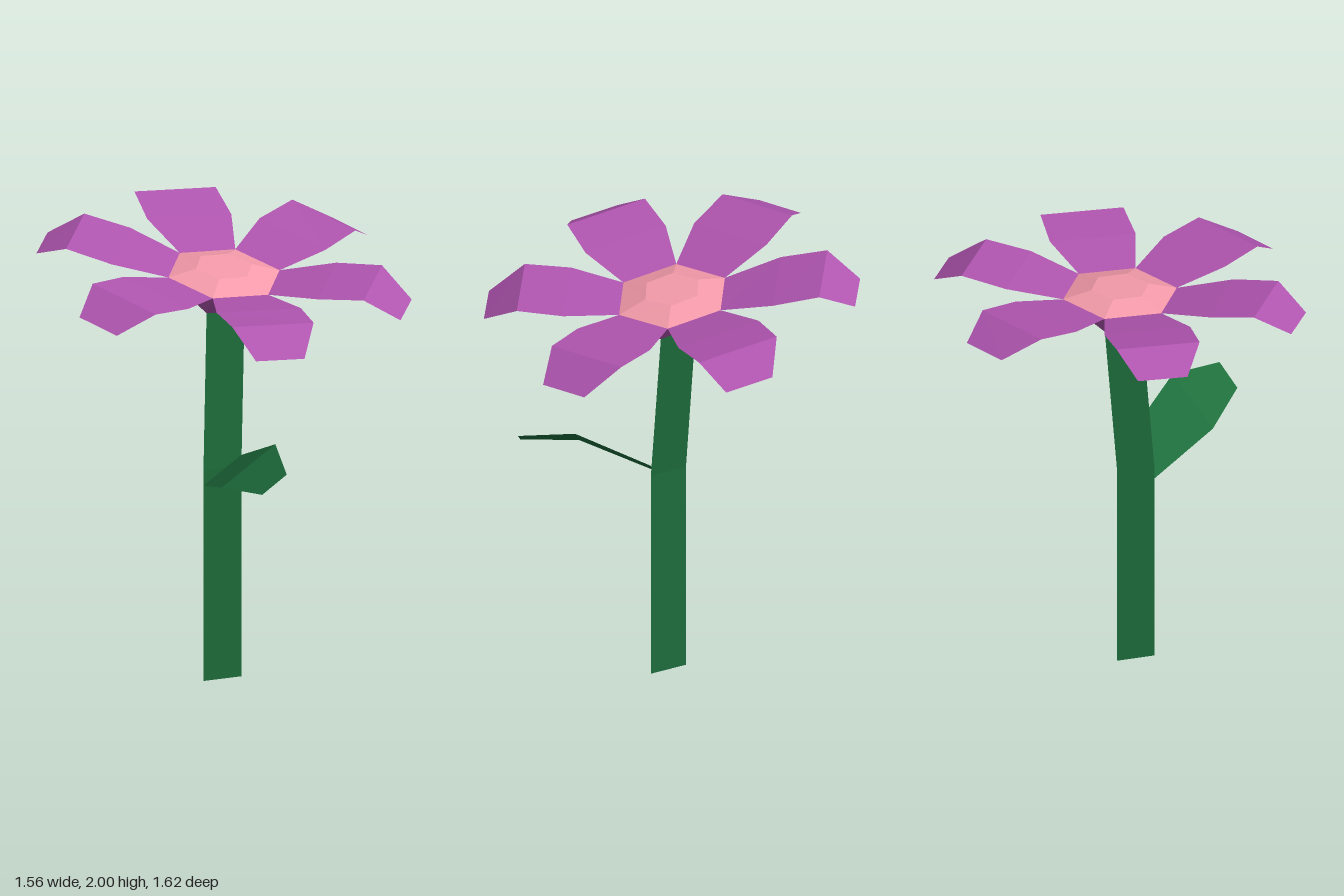
import * as THREE from 'three';

const GREEN = 0x1e6e3c, PURPLE = 0xb055b0, PINK = 0xf59bab;

// Flat-shaded mesh from convex faces, each a loop of [x, y, z] corners
function facetMesh(name, color, faces) {
  const pos = [];
  for (const f of faces) {
    for (let i = 1; i < f.length - 1; i++) pos.push(...f[0], ...f[i], ...f[i + 1]);
  }
  const geo = new THREE.BufferGeometry();
  geo.setAttribute('position', new THREE.Float32BufferAttribute(pos, 3));
  geo.computeVertexNormals();
  const mat = new THREE.MeshStandardMaterial({ color, flatShading: true, side: THREE.DoubleSide });
  const mesh = new THREE.Mesh(geo, mat);
  mesh.name = name;
  return mesh;
}

// Side faces between two loops of equal length
const band = (low, high) => low.map((p, i) => {
  const j = (i + 1) % low.length;
  return [p, low[j], high[j], high[i]];
});

// Point of the tilted flower head, turned k sixths about its middle
function headPoint(x, z, height, k) {
  const c = Math.cos(k * Math.PI / 3), s = Math.sin(k * Math.PI / 3);
  const px = x * c + z * s, pz = z * c - x * s;
  return [px, height - 0.115 * px, pz];
}

export function createModel() {
  const flower = new THREE.Group();
  flower.name = 'flower';

  // Three-sided stem, leaning back above the middle
  const foot = [[0, 0, 0.15], [0.1, 0, 0.01], [-0.07, 0, 0]];
  const bend = foot.map(([x, , z]) => [x, 0.98, z]);
  const neck = [[-0.02, 1.69, 0.1], [0.08, 1.675, -0.04], [-0.09, 1.7, -0.05]];
  flower.add(facetMesh('stem', GREEN, [...band(foot, bend), ...band(bend, neck)]));
  flower.add(facetMesh('stemEnd', PURPLE, [[...foot].reverse()]));

  // Leaf, one folded sheet
  const leaf = [
    [[0, 0.91, 0.15], [0.1, 1.03, 0.01]],
    [[0.25, 1.03, 0.36], [0.39, 1.2, 0.16]],
    [[0.51, 1.08, 0.42], [0.575, 1.16, 0.33]],
  ];
  flower.add(facetMesh('leaf', GREEN,
    [0, 1].map(i => [leaf[i][0], leaf[i + 1][0], leaf[i + 1][1], leaf[i][1]])));

  // Cup from the three stem corners to the six-sided rim
  const sixth = [0, 1, 2, 3, 4, 5];
  const rim = sixth.map(k => headPoint(-0.145, 0.207, 1.845, k));
  const cup = [];
  neck.forEach((p, i) => {
    const a = rim[2 * i], b = rim[2 * i + 1], next = rim[(2 * i + 2) % 6];
    cup.push([p, b, a], [p, neck[(i + 1) % 3], next, b]);
  });
  cup.forEach((f, i) => { if (i % 2 === 0) f.splice(1, 2, f[2], f[1]); });
  flower.add(facetMesh('cup', PURPLE, cup));

  // Low dome in the middle
  const crown = sixth.map(k => headPoint(-0.07, 0.108, 1.88, k));
  flower.add(facetMesh('flowerCentre', PINK, [...band(rim, crown), crown]));

  // Petals: rise from the rim, then droop at the tip [xLeft, zLeft, xRight, zRight, height]
  const rows = [
    [-0.145, 0.207, 0.107, 0.229, 1.845],
    [-0.225, 0.43, 0.153, 0.47, 1.893],
    [-0.24, 0.63, 0.125, 0.67, 1.923],
    [-0.197, 0.785, 0.02, 0.81, 1.833],
  ];
  for (const k of sixth) {
    const pts = rows.map(([x0, z0, x1, z1, h]) => [headPoint(x0, z0, h, k), headPoint(x1, z1, h, k)]);
    flower.add(facetMesh('petal', PURPLE,
      [0, 1, 2].map(i => [pts[i][0], pts[i + 1][0], pts[i + 1][1], pts[i][1]])));
  }
  return flower;
}
